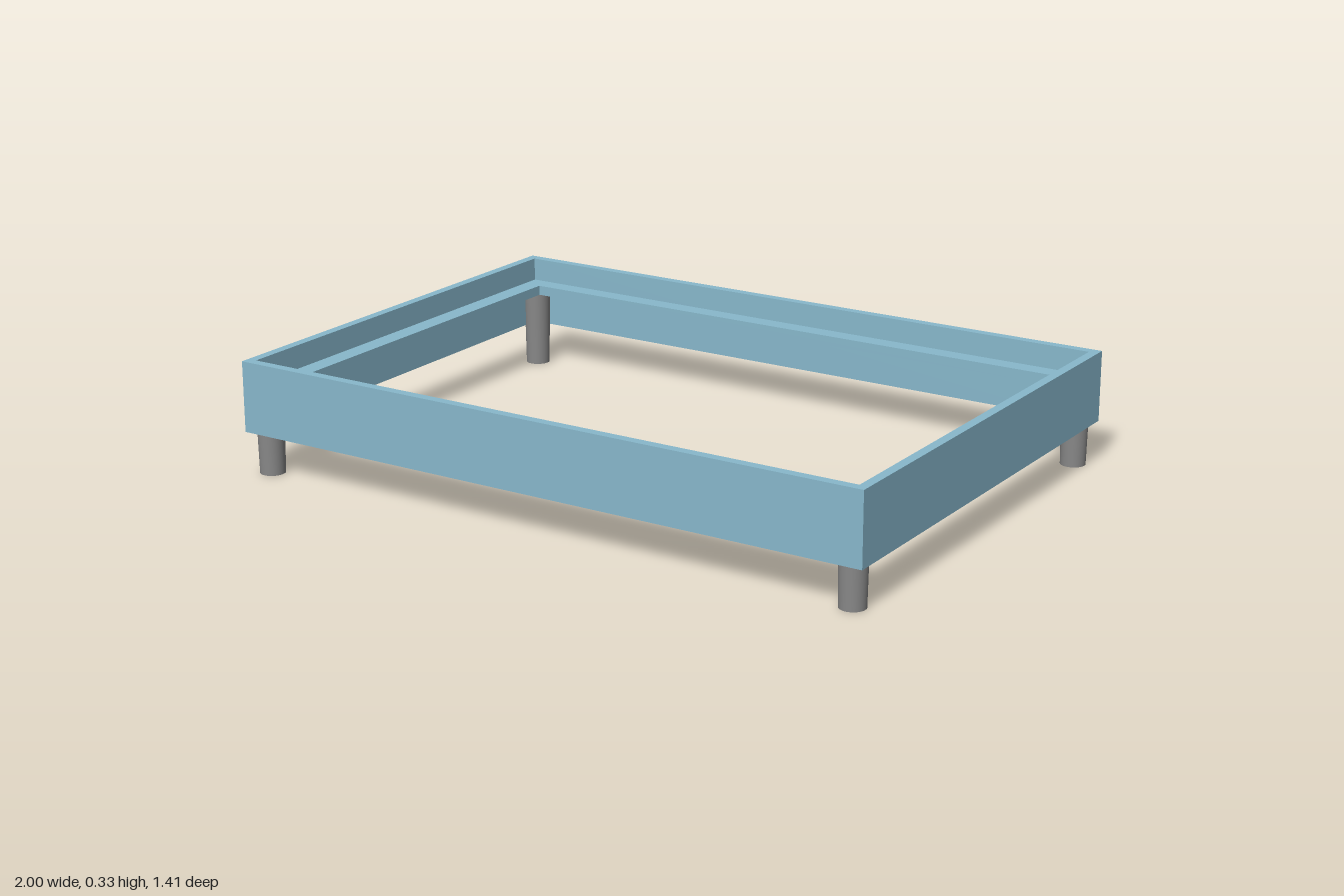
import * as THREE from 'three';

const blue = new THREE.MeshStandardMaterial({ color: 0x88b8cc });
const grey = new THREE.MeshStandardMaterial({ color: 0x888888 });

const corners = (x, z) => [[-x, -z], [x, -z], [x, z], [-x, z]].map(p => new THREE.Vector2(...p));

// Rectangular ring lying flat, from y0 to y1; outer and inner are [halfX, halfZ]
function ring(name, outer, inner, y0, y1) {
  const shape = new THREE.Shape(corners(...outer));
  shape.holes.push(new THREE.Path(corners(...inner).reverse()));
  const geometry = new THREE.ExtrudeGeometry(shape, { depth: y1 - y0, bevelEnabled: false });
  geometry.rotateX(-Math.PI / 2);
  const mesh = new THREE.Mesh(geometry, blue);
  mesh.name = name;
  mesh.position.y = y0;
  return mesh;
}

export function createModel() {
  const bed = new THREE.Group();
  bed.name = 'bedFrame';

  // Side rails, and the ledge inside them that carries the mattress base
  bed.add(ring('sideRails', [1, 0.703], [0.972, 0.675], 0.125, 0.335));
  bed.add(ring('supportLedge', [0.972, 0.675], [0.915, 0.62], 0.235, 0.265));

  // Slightly tapered round legs, reaching up to the ledge
  const height = 0.235;
  const legGeometry = new THREE.CylinderGeometry(0.041, 0.037, height, 32);
  for (const [sx, xName] of [[1, 'Left'], [-1, 'Right']]) {
    for (const [sz, zName] of [[1, 'front'], [-1, 'back']]) {
      const leg = new THREE.Mesh(legGeometry, grey);
      leg.name = `${zName}${xName}Leg`;
      leg.position.set(sx * 0.948, height / 2, sz * 0.653);
      bed.add(leg);
    }
  }
  return bed;
}
